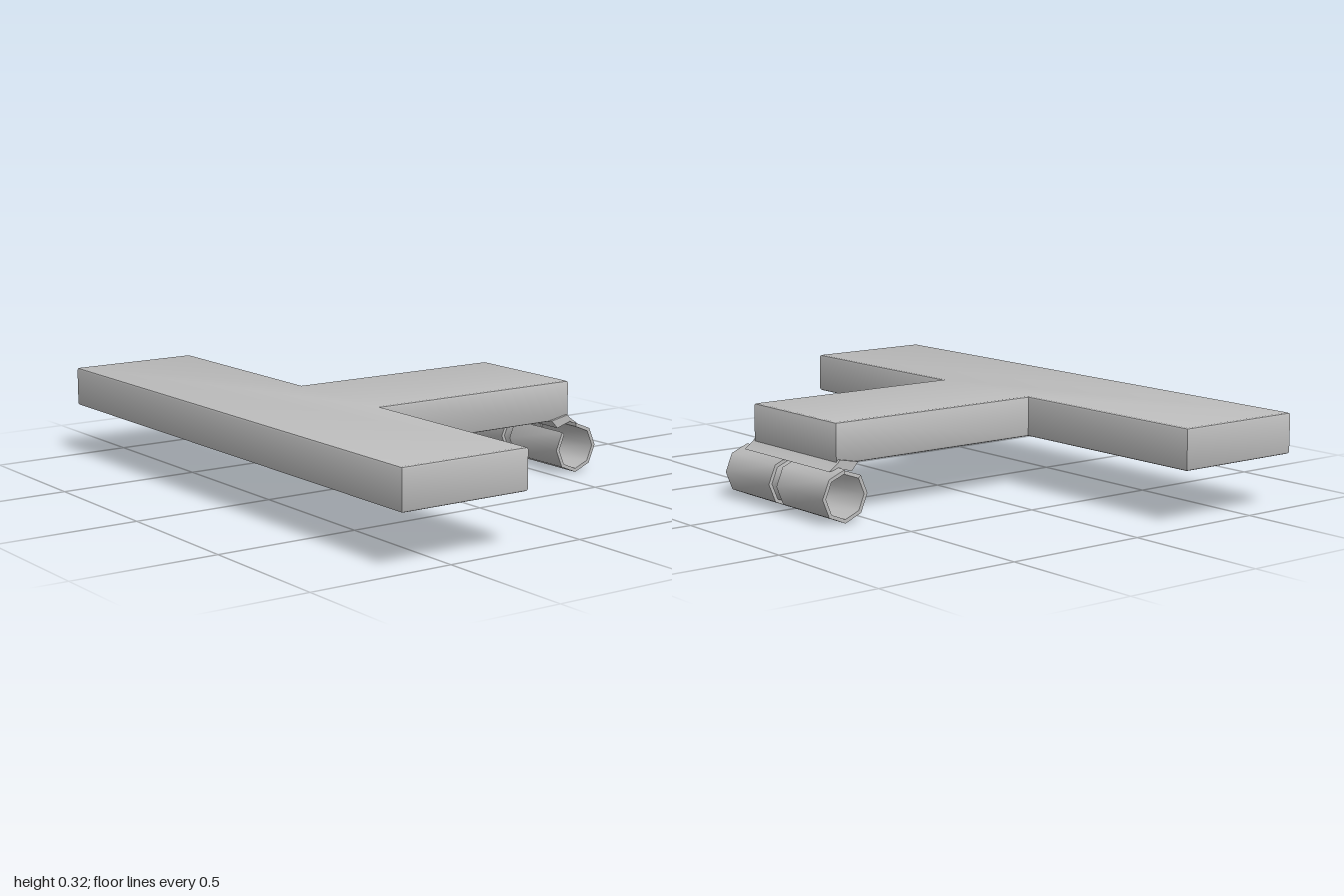
import * as THREE from 'three';
import { toCreasedNormals } from 'three/addons/utils/BufferGeometryUtils.js';

const grey = new THREE.MeshStandardMaterial({ color: 0xbcbcbc });
grey.name = 'plain grey';

const TUBE_Y = 0.088, TUBE_Z = -0.597;

function shapeOf(points) {
  return new THREE.Shape(points.map(([x, y]) => new THREE.Vector2(x, y)));
}

function part(name, geometry) {
  const mesh = new THREE.Mesh(geometry, grey);
  mesh.name = name;
  return mesh;
}

// Extrudes a (z, y) profile along x, from x0 to x1
function alongX(shape, x0, x1) {
  const geometry = new THREE.ExtrudeGeometry(shape, { depth: x1 - x0, bevelEnabled: false });
  geometry.rotateY(-Math.PI / 2);
  geometry.translate(x1, 0, 0);
  return toCreasedNormals(geometry, 0.9);
}

// Eight-sided ring with its upper front side left open
function openRing(outer, inner) {
  const points = [];
  const add = (radius, i) => {
    const a = Math.PI / 2 + (i * Math.PI) / 4;
    points.push([TUBE_Z + radius * Math.cos(a), TUBE_Y + radius * Math.sin(a)]);
  };
  for (let i = 0; i <= 7; i++) add(outer, i);
  for (let i = 7; i >= 0; i--) add(inner, i);
  return shapeOf(points);
}

export function createModel() {
  const model = new THREE.Group();
  model.name = 'tPlateWithTube';

  // T-shaped plate with slightly bevelled edges
  const bottom = 0.182, top = 0.32, bevel = 0.008;
  const outline = shapeOf([
    [-1, -0.68], [1, -0.68], [1, -0.21], [0.235, -0.21],
    [0.235, 0.597], [-0.235, 0.597], [-0.235, -0.21], [-1, -0.21],
  ]);
  const plate = new THREE.ExtrudeGeometry(outline, {
    depth: top - bottom - 2 * bevel,
    bevelThickness: bevel, bevelSize: bevel, bevelOffset: -bevel, bevelSegments: 2,
  });
  plate.rotateX(-Math.PI / 2);
  plate.translate(0, bottom + bevel, 0);
  model.add(part('plate', toCreasedNormals(plate, 0.6)));

  // Two tube halves with a groove between them
  const tube = openRing(0.088, 0.075);
  model.add(part('leftTube', alongX(tube, 0.022, 0.282)));
  model.add(part('rightTube', alongX(tube, -0.282, -0.022)));
  model.add(part('grooveRing', alongX(openRing(0.076, 0.07), -0.022, 0.022)));

  // Bridge that joins the tube to the underside of the plate
  const bridge = shapeOf([
    [-0.543, 0.158], [-0.518, 0.186], [-0.59, 0.2],
    [-0.598, 0.19], [-0.632, 0.166], [-0.595, 0.173],
  ]);
  model.add(part('bridge', alongX(bridge, -0.245, 0.245)));

  return model;
}
